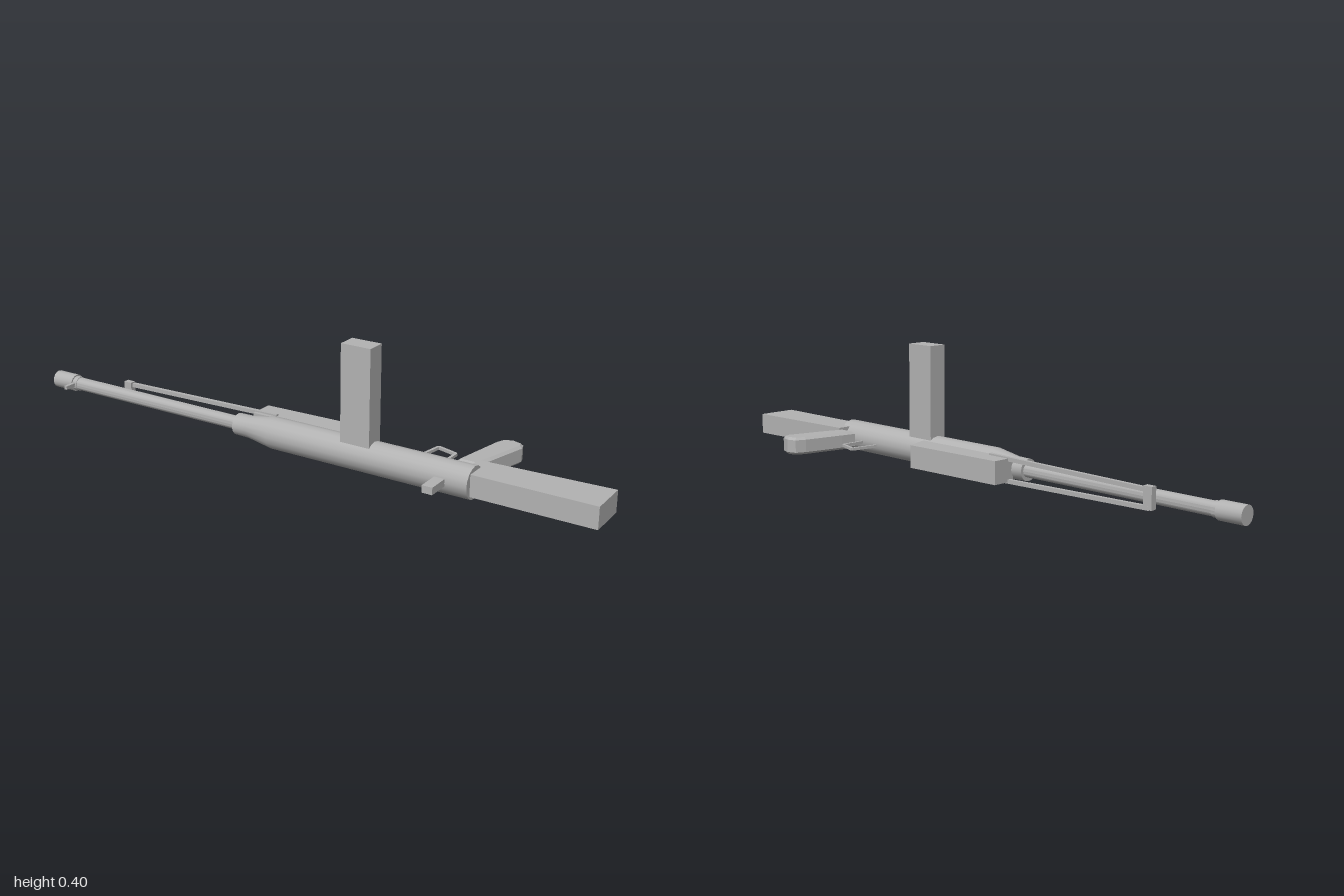
import * as THREE from 'three';
import { toCreasedNormals } from 'three/addons/utils/BufferGeometryUtils.js';

const AXIS_Y = 0.053, AXIS_Z = 0.086;

export function createModel() {
  const model = new THREE.Group();
  const grey = new THREE.MeshStandardMaterial({ color: 0xb2b2b2 });
  grey.name = 'grey';

  function add(name, geometry, parent = model) {
    const mesh = new THREE.Mesh(geometry, grey);
    mesh.name = name;
    parent.add(mesh);
    return mesh;
  }

  // Box given by its limits on each axis
  function box(name, x0, x1, y0, y1, z0, z1, parent) {
    const mesh = add(name, new THREE.BoxGeometry(x1 - x0, y1 - y0, z1 - z0), parent);
    mesh.position.set((x0 + x1) / 2, (y0 + y1) / 2, (z0 + z1) / 2);
    return mesh;
  }

  // Turned part along x, from [x, radius] points
  function turned(name, points, z = AXIS_Z, sides = 16) {
    const profile = points.map(([x, r]) => new THREE.Vector2(r, x));
    const geometry = toCreasedNormals(new THREE.LatheGeometry(profile, sides), 0.6);
    geometry.rotateZ(-Math.PI / 2);
    const mesh = add(name, geometry);
    mesh.position.set(0, AXIS_Y, z);
    return mesh;
  }

  // Outline in x and z, extruded upwards from y0 to y1
  function slab(name, outline, y0, y1, bevel = 0) {
    const shape = new THREE.Shape(outline.map(([x, z]) => new THREE.Vector2(x, -z)));
    const geometry = new THREE.ExtrudeGeometry(shape, {
      depth: y1 - y0 - 2 * bevel, bevelEnabled: bevel > 0,
      bevelSize: bevel, bevelOffset: -bevel, bevelThickness: bevel, bevelSegments: 1,
    });
    geometry.rotateX(-Math.PI / 2);
    const mesh = add(name, geometry);
    mesh.position.y = y0 + bevel;
    return mesh;
  }

  // Square bar between two points
  function bar(name, a, b, thick, parent) {
    const from = new THREE.Vector3(...a), to = new THREE.Vector3(...b);
    const mesh = add(name, new THREE.BoxGeometry(thick, thick, from.distanceTo(to)), parent);
    mesh.position.copy(from).add(to).multiplyScalar(0.5);
    mesh.lookAt(to);
    return mesh;
  }

  // Tube, barrel and end pieces
  turned('receiver', [[-0.22, 0], [-0.22, 0.035], [-0.17, 0.036], [-0.08, 0.051],
    [0.615, 0.051], [0.615, 0]]);
  turned('barrel', [[-0.95, 0], [-0.95, 0.022], [-0.2, 0.022], [-0.2, 0]], 0.083);
  turned('muzzle', [[-1, 0], [-1, 0.029], [-0.917, 0.029], [-0.917, 0]], 0.083);
  turned('muzzleRing', [[-0.93, 0], [-0.93, 0.024], [-0.9, 0.024], [-0.9, 0]], 0.083);
  box('frontSight', -0.917, -0.906, 0.048, 0.06, 0.1, 0.146);

  // Stock, fore-end and grip
  slab('stock', [[0.585, 0.115], [1, 0.115], [1, -0.017], [0.585, 0.005]], 0.019, 0.088);
  slab('foreEnd', [[-0.18, 0.06], [0.215, 0.06], [0.182, -0.034], [-0.18, -0.021]], 0.016, 0.09);
  slab('grip', [[0.522, 0.02], [0.585, 0.02], [0.605, -0.04], [0.64, -0.175], [0.633, -0.198],
    [0.6, -0.208], [0.568, -0.198], [0.555, -0.165], [0.53, -0.03]], 0.024, 0.082, 0.008);

  // Upright magazine and side handle
  box('magazine', 0.182, 0.283, 0.07, 0.401, 0.055, 0.118);
  box('sideHandle', 0.511, 0.545, 0.042, 0.065, 0.12, 0.208);

  // Thin trigger guard
  const guard = new THREE.Group();
  guard.name = 'triggerGuard';
  model.add(guard);
  const path = [[0.39, 0], [0.405, -0.09], [0.474, -0.07], [0.474, 0.012]];
  for (let i = 0; i < 3; i++) {
    const [a, b] = [path[i], path[i + 1]];
    bar('guardBar', [a[0], AXIS_Y, a[1]], [b[0], AXIS_Y, b[1]], 0.009, guard);
  }

  // Folded legs joined by a foot plate
  const legs = new THREE.Group();
  legs.name = 'foldedLegs';
  model.add(legs);
  for (const side of [-1, 1]) {
    bar('leg', [-0.71, AXIS_Y + side * 0.026, 0.046],
      [-0.1, AXIS_Y + side * 0.036, 0.041], 0.013, legs);
  }
  box('footPlate', -0.72, -0.69, 0.022, 0.09, 0.04, 0.06, legs);

  return model;
}
